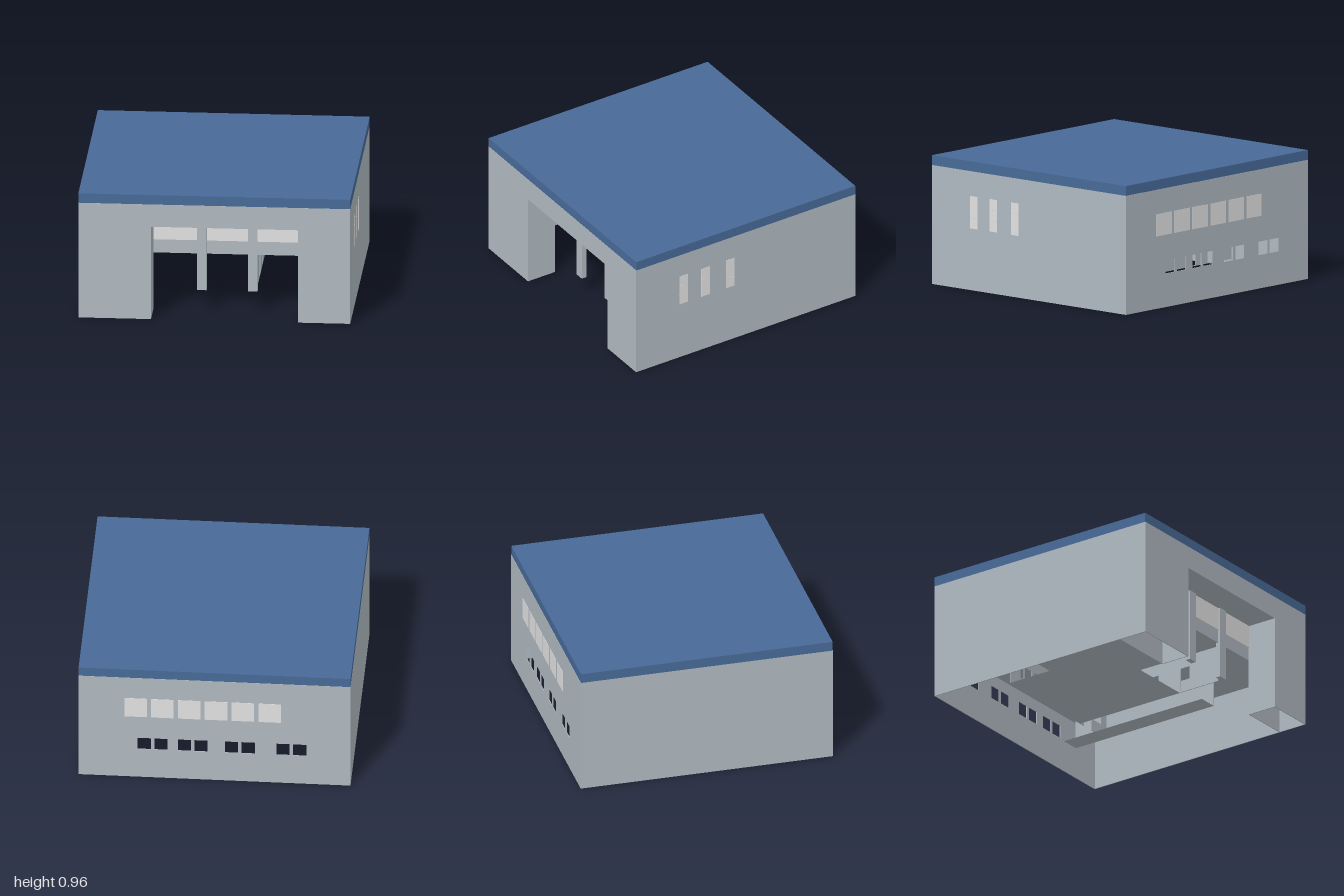
import * as THREE from 'three';

const wallMat = new THREE.MeshStandardMaterial({ color: 0xb0bac1 });
wallMat.name = 'grey wall';
const roofMat = new THREE.MeshStandardMaterial({ color: 0x486a98 });
roofMat.name = 'blue roof';
const glassMat = new THREE.MeshStandardMaterial({ color: 0xe2e2e2 });
glassMat.name = 'pale glass';

const T = 0.006; // wall thickness

export function createModel() {
  const model = new THREE.Group();
  model.name = 'building';

  // Box given by its limits on each axis
  function box(name, mat, x0, x1, y0, y1, z0, z1) {
    const mesh = new THREE.Mesh(new THREE.BoxGeometry(x1 - x0, y1 - y0, z1 - z0), mat);
    mesh.position.set((x0 + x1) / 2, (y0 + y1) / 2, (z0 + z1) / 2);
    mesh.name = name;
    model.add(mesh);
  }

  // Upright wall from an outline, with rectangular holes [x0, x1, y0, y1]
  function wall(name, outline, holes, z) {
    const shape = new THREE.Shape(outline.map(([x, y]) => new THREE.Vector2(x, y)));
    for (const [x0, x1, y0, y1] of holes) {
      shape.holes.push(new THREE.Path([
        new THREE.Vector2(x0, y0), new THREE.Vector2(x0, y1),
        new THREE.Vector2(x1, y1), new THREE.Vector2(x1, y0),
      ]));
    }
    const geo = new THREE.ExtrudeGeometry(shape, { depth: T, bevelEnabled: false });
    const mesh = new THREE.Mesh(geo, wallMat);
    mesh.position.z = z;
    mesh.name = name;
    model.add(mesh);
    return mesh;
  }

  // Level surface seen only from beneath
  function underside(name, x0, x1, y, z0, z1) {
    const mesh = new THREE.Mesh(new THREE.PlaneGeometry(x1 - x0, z1 - z0), wallMat);
    mesh.rotation.x = Math.PI / 2;
    mesh.position.set((x0 + x1) / 2, y, (z0 + z1) / 2);
    mesh.name = name;
    model.add(mesh);
  }

  // Roof slab
  box('roof', roofMat, -1, 1, 0.887, 0.96, -0.955, 0.955);

  // Front wall with the wide entrance
  const L = -0.465, R = 0.615, TOP = 0.715;
  wall('frontWall', [[-1, 0], [L, 0], [L, TOP], [R, TOP], [R, 0], [1, 0], [1, 0.887], [-1, 0.887]], [], 0.957 - T);

  // Back wall with four pairs of open windows
  const openings = [];
  for (const x of [0.455, 0.16, -0.187, -0.565]) {
    openings.push([x - 0.11, x - 0.013, 0.25, 0.35], [x + 0.013, x + 0.11, 0.25, 0.35]);
  }
  wall('backWall', [[-1, 0], [1, 0], [1, 0.887], [-1, 0.887]], openings, -0.957);

  // Side walls
  for (const s of [-1, 1]) {
    const x = s * (1 - T / 2);
    box(s > 0 ? 'leftWall' : 'rightWall', wallMat, x - T / 2, x + T / 2, 0, 0.887, -0.957 + T, 0.957 - T);
  }

  // Upper windows along the back
  for (let i = 0; i < 6; i++) {
    const x = 0.58 - i * 0.197;
    box('backWindow', glassMat, x - 0.083, x + 0.083, 0.54, 0.705, -0.959, -0.955);
  }

  // Narrow windows on one side, three panes each
  for (const z of [0.543, 0.352, 0.137]) {
    for (let i = 0; i < 3; i++) {
      const y = 0.46 + i * 0.081;
      box('sideWindow', glassMat, 0.997, 1.001, y, y + 0.08, z - 0.037, z + 0.037);
    }
  }

  // Entrance recess: returns, rear walls of the corner blocks, soffit
  const Z = 0.72;
  box('recessReturn', wallMat, L - T, L, 0, TOP, Z, 0.957 - T);
  box('recessReturn', wallMat, R, R + T, 0, TOP, Z, 0.957 - T);
  box('blockRearWall', wallMat, -1 + T, L - T, 0, 0.887, Z, Z + T);
  box('blockRearWall', wallMat, R + T, 1 - T, 0, 0.887, Z, Z + T);
  box('recessSoffit', wallMat, L, R, TOP, TOP + T, Z - T, 0.957 - T);

  // Hanging facade above the entrance, with pillars between the panes
  box('entranceFascia', wallMat, L, R, 0.437, TOP, Z - T, Z);
  const bays = [[L, -0.142], [-0.073, 0.232], [0.302, R]];
  for (const [x0, x1] of bays) box('entranceGlazing', glassMat, x0, x1, 0.54, TOP, Z, Z + 0.004);
  for (const x of [-0.1075, 0.267]) {
    box('pillar', wallMat, x - 0.035, x + 0.035, 0.16, TOP, Z - 0.02, Z + 0.02);
  }

  // Ceiling and raised floors
  underside('ceiling', -1 + T, 1 - T, 0.44, -0.95, Z - T);
  underside('mainFloor', -0.58, 0.29, 0.16, -0.57, 0.33);
  underside('sideFloor', 0.47, 0.62, 0.16, -0.85, 0.4);

  // Inner walls running front to back; the outline is drawn along -z
  const doors = [0.38, 0.1, -0.22].map((z) => [-z - 0.04, -z + 0.04, 0.17, 0.35]);
  const longWalls = [
    ['corridorWall', 0.287, 0.68, -0.57, doors],
    ['sideRoomWall', 0.614, 0.4, -0.85, []],
  ];
  for (const [name, x, zFront, zBack, holes] of longWalls) {
    const mesh = wall(name, [[-zFront, 0.16], [-zBack, 0.16], [-zBack, 0.44], [-zFront, 0.44]], holes, 0);
    mesh.rotation.y = Math.PI / 2;
    mesh.position.x = x;
  }

  // Inner cross walls with a doorway and windows towards the back
  const crossHoles = [
    [-0.455, -0.412, 0.25, 0.35], [-0.4, -0.32, 0.165, 0.35],
    [-0.28, -0.21, 0.25, 0.35], [-0.19, -0.11, 0.165, 0.35],
  ];
  wall('crossWall', [[-0.58, 0.16], [0.335, 0.16], [0.335, 0.44], [-0.58, 0.44]], crossHoles, -0.576);
  wall('sideCrossWall', [[0.43, 0.16], [0.62, 0.16], [0.62, 0.44], [0.335, 0.44], [0.335, 0.35], [0.43, 0.35]],
    [[0.455, 0.545, 0.25, 0.35]], -0.576);

  return model;
}
